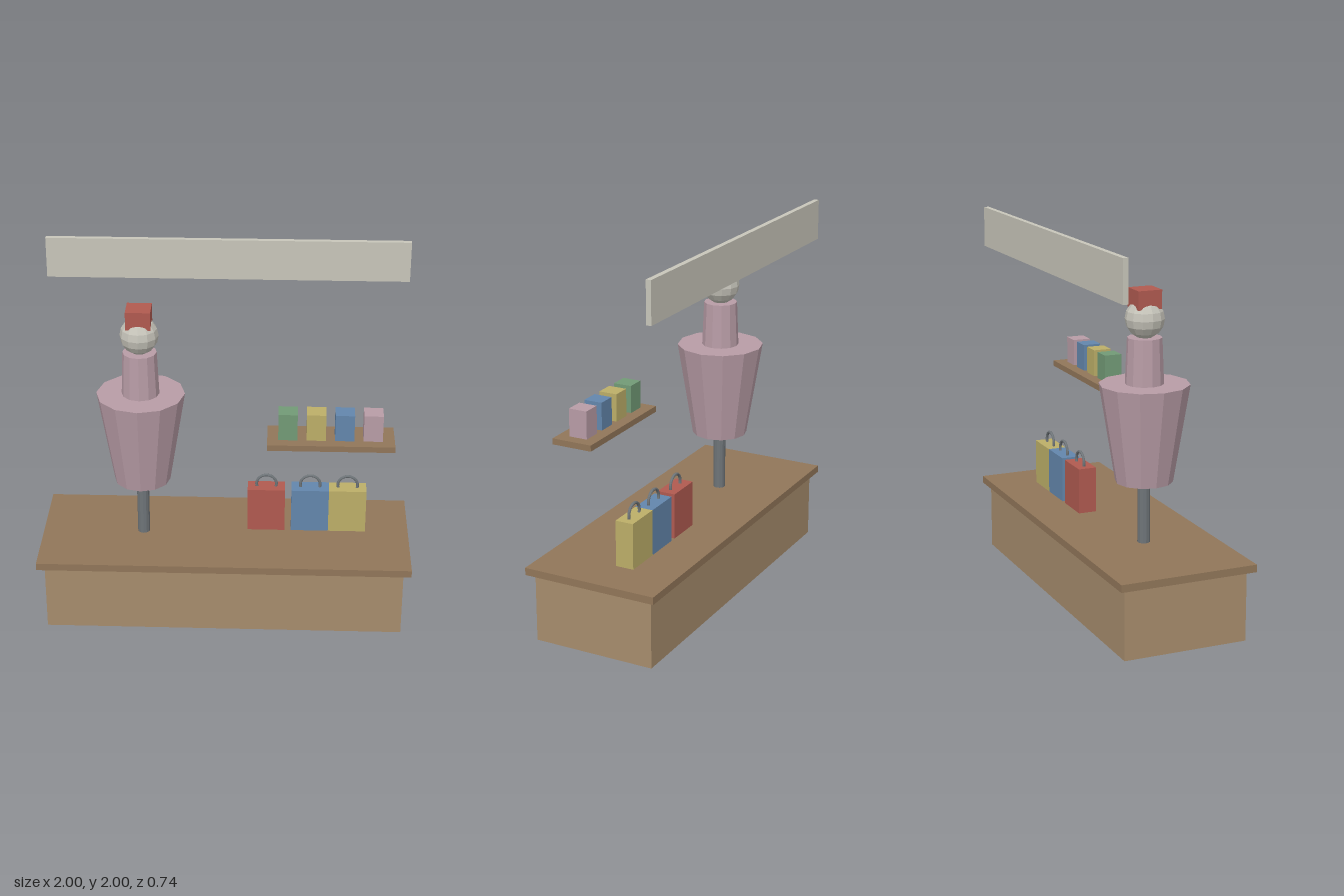
import * as THREE from 'three';

const COLORS = {
  wood: 0xa68c6c, woodDark: 0x917659, mauve: 0xb89ca6, red: 0xb05a50, blue: 0x6386ac,
  yellow: 0xbcae68, green: 0x729a76, steel: 0x6e7478, sign: 0xc8c6ba, head: 0xc4c2b8,
};
const mats = Object.fromEntries(Object.entries(COLORS).map(([name, color]) =>
  [name, new THREE.MeshStandardMaterial({ color, flatShading: true })]));

function add(parent, name, geometry, mat, x, y, z) {
  const mesh = new THREE.Mesh(geometry, mats[mat]);
  mesh.name = name;
  mesh.position.set(x, y, z);
  parent.add(mesh);
  return mesh;
}

// Box given by its bottom centre
function box(parent, name, mat, w, h, d, x, y, z) {
  return add(parent, name, new THREE.BoxGeometry(w, h, d), mat, x, y + h / 2, z);
}

// Tapered column standing from y0 to y1
function column(parent, name, mat, rTop, rBottom, y0, y1, sides) {
  return add(parent, name, new THREE.CylinderGeometry(rTop, rBottom, y1 - y0, sides), mat, 0, (y0 + y1) / 2, 0);
}

function makeMannequin() {
  const g = new THREE.Group();
  g.name = 'mannequin';
  column(g, 'pole', 'steel', 0.033, 0.033, 0.415, 0.76, 12);
  column(g, 'torso', 'mauve', 0.235, 0.15, 0.745, 1.26, 12);
  column(g, 'neck', 'mauve', 0.09, 0.1, 1.26, 1.5, 12);
  add(g, 'head', new THREE.SphereGeometry(0.102, 12, 8), 'head', 0, 1.595, 0);
  box(g, 'hat', 'red', 0.13, 0.098, 0.13, 0, 1.65, 0);
  return g;
}

function makeBag(mat) {
  const g = new THREE.Group();
  g.name = 'bag';
  box(g, 'bagBody', mat, 0.204, 0.25, 0.1, 0, 0, 0);
  // Loop handle, its ends sunk into the top of the bag
  const arc = Math.PI * 1.3;
  const handle = add(g, 'bagHandle', new THREE.TorusGeometry(0.054, 0.008, 8, 20, arc), 'steel', 0, 0.264, 0);
  handle.rotation.z = (Math.PI - arc) / 2;
  return g;
}

export function createModel() {
  const model = new THREE.Group();
  model.name = 'shopDisplay';

  // Counter and the hanging sign board
  box(model, 'counterBase', 'wood', 1.92, 0.375, 0.67, 0, 0, 0);
  box(model, 'counterTop', 'woodDark', 2, 0.04, 0.74, 0, 0.375, 0);
  box(model, 'signBoard', 'sign', 1.92, 0.22, 0.028, 0, 1.78, -0.333);

  const mannequin = makeMannequin();
  mannequin.position.x = -0.45;
  model.add(mannequin);

  // Row of bags on the counter
  [['red', 0.22], ['blue', 0.459], ['yellow', 0.663]].forEach(([mat, x]) => {
    const bag = makeBag(mat);
    bag.position.set(x, 0.415, -0.076);
    model.add(bag);
  });

  // Floating shelf with small boxes
  box(model, 'shelf', 'woodDark', 0.664, 0.032, 0.22, 0.555, 1.065, 0.147);
  ['green', 'yellow', 'blue', 'mauve'].forEach((mat, i) =>
    box(model, 'shelfBox', mat, 0.1, 0.147, 0.1, 0.33 + i * 0.148, 1.097, 0.147));

  return model;
}
